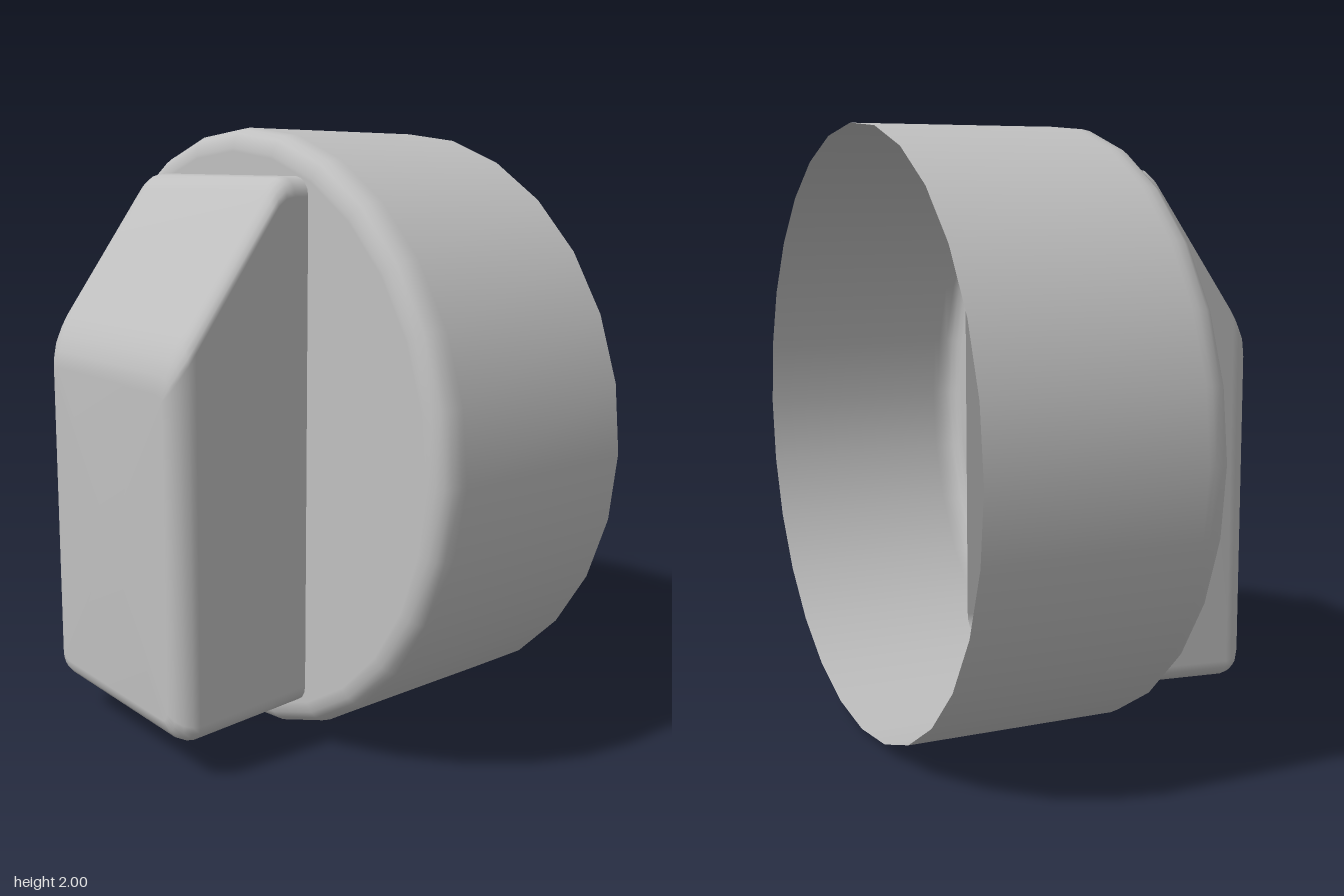
import * as THREE from 'three';

const grey = new THREE.MeshStandardMaterial({ color: 0xc0c0c0, side: THREE.DoubleSide });
grey.name = 'plainGrey';

// Closed loop of points round a rounded rectangle, counter-clockwise
function roundedRect(x0, x1, y0, y1, r, steps = 4) {
  const corners = [[x1 - r, y0 + r, -1], [x1 - r, y1 - r, 0], [x0 + r, y1 - r, 1], [x0 + r, y0 + r, 2]];
  const loop = [];
  for (const [cx, cy, quarter] of corners) {
    for (let i = 0; i <= steps; i++) {
      const a = (quarter + i / steps) * Math.PI / 2;
      loop.push([cx + r * Math.cos(a), cy + r * Math.sin(a)]);
    }
  }
  return loop;
}

// Hollow cap: slightly tapered wall, rounded front edge, flat front, open back
function makeCap() {
  const profile = [[0.985, -0.63], [0.999, 0.05], [1, 0.07]];
  for (let i = 1; i <= 4; i++) {
    const a = (i / 4) * Math.PI / 2;
    profile.push([0.935 + 0.065 * Math.cos(a), 0.075 + 0.065 * Math.sin(a)]);
  }
  profile.push([0.925, 0.14], [0, 0.14]);
  const geometry = new THREE.LatheGeometry(profile.map(p => new THREE.Vector2(...p)), 28);
  geometry.rotateX(Math.PI / 2).translate(0, 1, 0);
  return geometry;
}

// Grip: rounded sections stacked from the open back end to the closed front
function makeGrip() {
  const sections = [ // z, bottom, top, side inset, corner radius
    [-0.07, 0.17, 1.85, 0, 0.06],
    [0.19, 0.153, 1.85, 0, 0.06],
    [0.22, 0.151, 1.845, 0, 0.06],
    [0.25, 0.149, 1.822, 0, 0.06],
    [0.27, 0.148, 1.795, 0, 0.06],
    [0.55, 0.13, 1.41, 0, 0.06],
    [0.575, 0.133, 1.373, 0.004, 0.06],
    [0.6, 0.145, 1.33, 0.016, 0.055],
    [0.62, 0.168, 1.28, 0.038, 0.045],
    [0.63, 0.2, 1.225, 0.066, 0.03],
  ];
  const positions = [], index = [];
  let n = 0;
  for (const [z, y0, y1, inset, r] of sections) {
    const loop = roundedRect(-0.4 + inset, 0.39 - inset, y0, y1, r);
    n = loop.length;
    loop.forEach(([x, y]) => positions.push(x, y, z));
  }
  for (let s = 0; s < sections.length - 1; s++) {
    for (let j = 0; j < n; j++) {
      const a = s * n + j, b = s * n + (j + 1) % n;
      index.push(a, b, b + n, a, b + n, a + n);
    }
  }
  // Front face
  const centre = positions.length / 3, last = centre - n;
  positions.push(-0.005, 0.71, 0.63);
  for (let j = 0; j < n; j++) index.push(last + j, last + (j + 1) % n, centre);

  const geometry = new THREE.BufferGeometry();
  geometry.setAttribute('position', new THREE.Float32BufferAttribute(positions, 3));
  geometry.setIndex(index);
  geometry.computeVertexNormals();
  return geometry;
}

export function createModel() {
  const model = new THREE.Group();
  model.name = 'controlKnob';
  for (const [name, geometry] of [['cap', makeCap()], ['grip', makeGrip()]]) {
    const mesh = new THREE.Mesh(geometry, grey);
    mesh.name = name;
    model.add(mesh);
  }
  return model;
}
